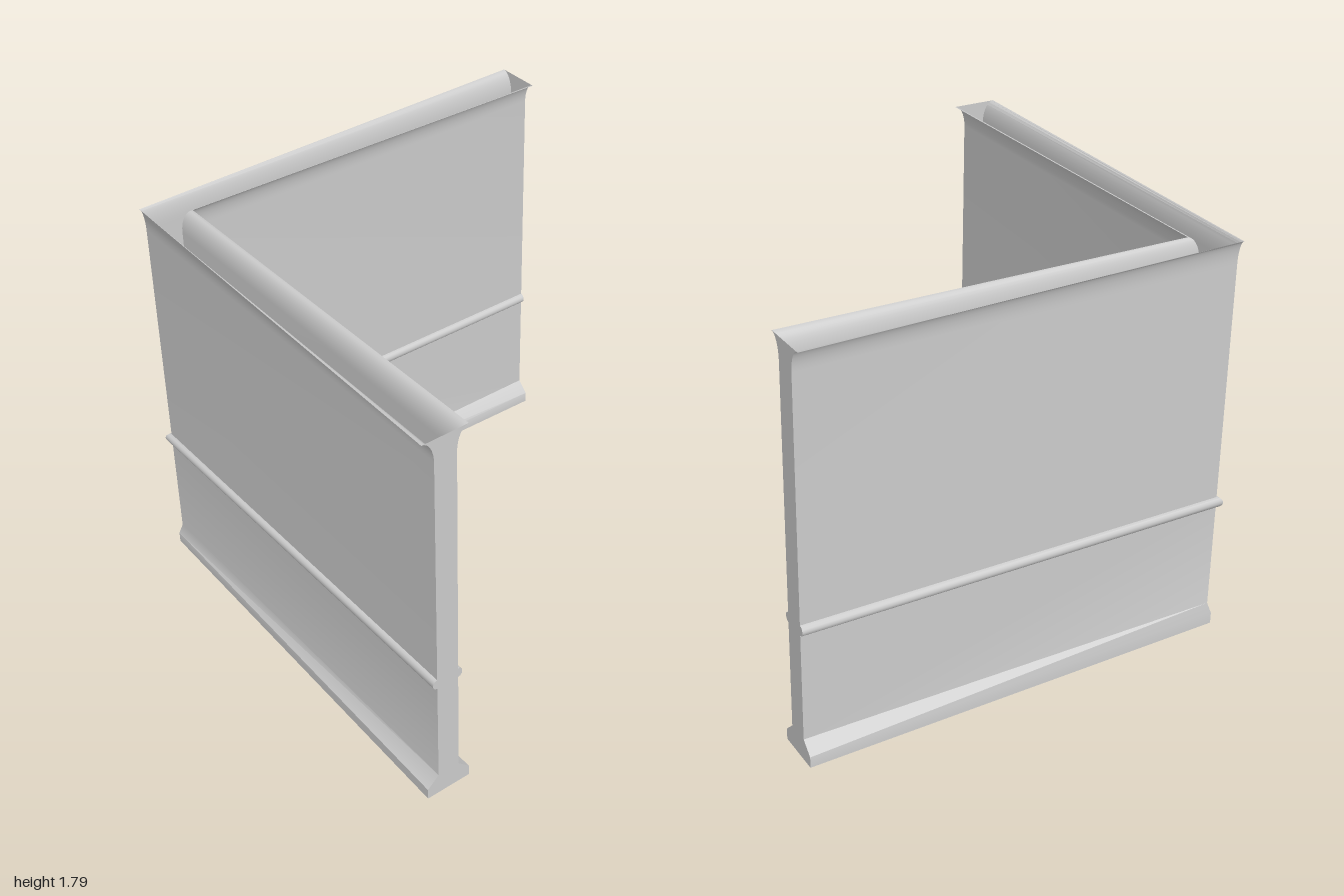
import * as THREE from 'three';
import { toCreasedNormals } from 'three/addons/utils/BufferGeometryUtils.js';

const material = new THREE.MeshStandardMaterial({ color: 0xcccccc, side: THREE.DoubleSide });
const HEIGHT = 1.79;

// Wall profile from floor to top: [height, moulding projection, rail projection], 0 to 1
const profile = [[0, 1, 0], [0.05, 1, 0], [0.1, 0, 0]];
for (let i = 0; i <= 6; i++) { // half-round rail
  const a = (i / 6) * Math.PI;
  profile.push([0.608 - 0.023 * Math.cos(a), 0, Math.sin(a)]);
}
for (let i = 0; i <= 8; i++) { // hollow crown curve
  const a = (i / 8) * Math.PI / 2;
  profile.push([HEIGHT - 0.1 + 0.1 * Math.sin(a), 1 - Math.cos(a), 0]);
}

// Distances of each shell from the centre at the open ends (end) and at the corner (cx, cz).
// The mouldings taper along each wall towards the corner.
const outer = profile.map(([y, m, r]) => ({
  y,
  end: 0.946 + 0.054 * m + 0.021 * r,
  cx: 0.943 + 0.013 * m + 0.021 * r,
  cz: 0.943 + 0.015 * m + 0.021 * r,
}));
const inner = profile.map(([y, m, r]) => ({
  y,
  end: 0.845 - 0.052 * m - 0.02 * r,
  cx: 0.841 - 0.026 * m - 0.019 * r,
  cz: 0.834 - 0.044 * m - 0.019 * r,
}));

// L-shaped skin lofted from the back end, round the corner, to the side end
function shell(points, flip) {
  const stations = [
    (p) => [-p.end, p.y, -1],
    (p) => [-p.cx, p.y, p.cz],
    (p) => [1, p.y, p.end],
  ];
  const n = points.length;
  const index = [];
  for (let s = 0; s < 2; s++) {
    for (let j = 0; j < n - 1; j++) {
      const a = s * n + j, b = a + n, c = b + 1, d = a + 1;
      index.push(...(flip ? [a, c, b, a, d, c] : [a, b, c, a, c, d]));
    }
  }
  const g = new THREE.BufferGeometry();
  g.setAttribute('position', new THREE.Float32BufferAttribute(
    stations.flatMap((at) => points.flatMap(at)), 3));
  g.setIndex(index);
  return toCreasedNormals(g, 0.55);
}

// Flat wall end following both skins
function endCap(sign) {
  const outline = [...outer, ...[...inner].reverse()];
  return new THREE.ShapeGeometry(
    new THREE.Shape(outline.map((p) => new THREE.Vector2(sign * p.end, p.y))));
}

// Short piece of half-round rail running on past the inner corner
function railStub() {
  const s = new THREE.Shape(profile.slice(3, 10).map(([y, , r]) => new THREE.Vector2(0.019 * r, y)));
  return toCreasedNormals(
    new THREE.ExtrudeGeometry(s, { depth: 0.05, bevelEnabled: false }), 0.55);
}

export function createModel() {
  const group = new THREE.Group();
  group.name = 'cornerWall';
  const add = (name, geometry) => {
    const mesh = new THREE.Mesh(geometry, material);
    mesh.name = name;
    group.add(mesh);
    return mesh;
  };

  // Two skins, open at top and bottom
  add('outerWallSkin', shell(outer, false));
  add('innerWallSkin', shell(inner, true));

  // Closed ends
  add('frontWallEnd', endCap(-1).rotateY(Math.PI / 2)).position.x = 1;
  add('sideWallEnd', endCap(1).rotateY(Math.PI)).position.z = -1;

  // Inner rails overlapping at the corner
  add('frontRailStub', railStub().rotateY(Math.PI / 2)).position.set(-0.87, 0, 0.837);
  add('sideRailStub', railStub()).position.set(-0.841, 0, 0.814);

  return group;
}
